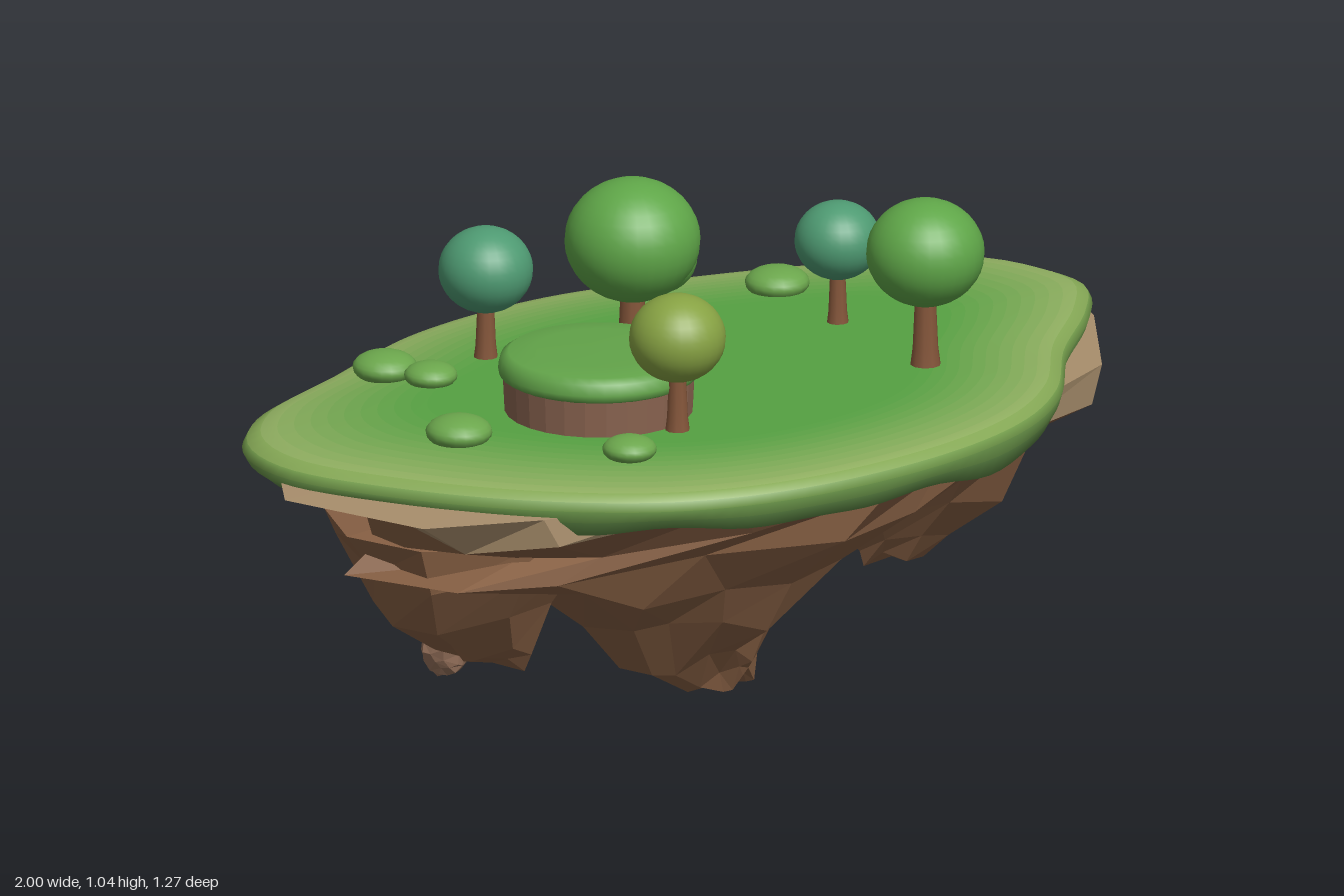
import * as THREE from 'three';

let seed = 7;
const rand = () => {
  seed = (seed * 16807) % 2147483647;
  return seed / 2147483647 - 0.5;
};
const mat = (color, flatShading = false) => new THREE.MeshStandardMaterial({ color, flatShading });
const V = (x, y, z) => new THREE.Vector3(x, y, z);

function add(parent, name, geometry, material, x = 0, y = 0, z = 0) {
  const mesh = new THREE.Mesh(geometry, material);
  mesh.name = name;
  mesh.position.set(x, y, z);
  parent.add(mesh);
  return mesh;
}

// Skin a stack of closed rings, top to bottom; bands[k] is the material index of each strip.
function loft(rings, bands) {
  const n = rings[0].length, index = [];
  const geo = new THREE.BufferGeometry().setFromPoints(rings.flat());
  for (let k = 0; k < rings.length - 1; k++) {
    geo.addGroup(index.length, n * 6, bands[k]);
    for (let i = 0; i < n; i++) {
      const j = (i + 1) % n, a = k * n, b = a + n;
      index.push(b + i, b + j, a + j, b + i, a + j, a + i);
    }
  }
  geo.setIndex(index);
  geo.computeVertexNormals();
  return geo;
}

// Jagged rock: levels are [y, centre x, centre z, scale x, scale z] applied to an outline.
function rock(parent, name, outline, levels, materials, paleBands = 0) {
  const rings = levels.map(([y, cx, cz, sx, sz], k) => outline.map(([x, z]) => {
    const jitter = k < 2 ? 1 : 1 + rand() * 0.2;
    const dy = k < 2 || sx === 0 ? 0 : rand() * 0.06;
    return V(cx + x * sx * jitter, Math.max(y + dy, 0.02), cz + z * sz * jitter);
  }));
  add(parent, name, loft(rings, levels.map((_, k) => (k < paleBands ? 0 : 1))), materials);
}

function boulder(parent, name, r, x, y, z, squash, material) {
  const geo = new THREE.DodecahedronGeometry(r, 1);
  const p = geo.attributes.position;
  // Push corners in and out by a rule of position, so shared corners stay together.
  for (let i = 0; i < p.count; i++) {
    const v = V().fromBufferAttribute(p, i);
    v.multiplyScalar(1 + 0.09 * Math.sin(v.x * 5 / r + v.y * 3 / r) * Math.cos(v.z * 4 / r));
    p.setXYZ(i, v.x, v.y, v.z);
  }
  geo.computeVertexNormals();
  add(parent, name, geo, material, x, y, z).scale.y = squash;
}

export function createModel() {
  const island = new THREE.Group();
  island.name = 'floatingIsland';
  const stone = [mat(0xa88e6c, true), mat(0x865f43, true)];
  const bark = mat(0x85563a), leaf = mat(0x5fa648);

  // Grass slab: lawn fading to a pale rounded rim, dripping skirt and hollow underside
  const shore = [
    [0, -0.64], [-0.34, -0.57], [-0.61, -0.42], [-0.85, -0.28], [-0.95, -0.14], [-0.955, 0.02],
    [-0.83, 0.235], [-0.63, 0.445], [-0.4, 0.585], [-0.15, 0.632], [0.19, 0.59], [0.43, 0.49],
    [0.59, 0.35], [0.73, 0.14], [0.89, -0.05], [0.97, -0.19], [0.96, -0.29], [0.89, -0.42],
    [0.67, -0.52], [0.35, -0.6]];
  const curve = new THREE.CatmullRomCurve3(shore.map(([x, z]) => V(x, 0, z)), true);
  const edge = curve.getSpacedPoints(128).slice(0, 128);
  const fade = 10, lawn = new THREE.Color(0x55a142), rim = new THREE.Color(0x8fae60);
  const slab = [[0, 0.655]], colors = [];
  for (let i = 0; i <= fade; i++) {
    const t = i / fade;
    slab.push([0.6 + 0.36 * t, 0.653 - 0.018 * t * t]);
    colors.push(mat(lawn.clone().lerp(rim, t ** 1.5)));
  }
  slab.push([0.99, 0.622], [1, 0.605], [0.99, 0.585], [0.965, 0.565], [0.93, 0.585], [0.8, 0.598], [0, 0.603]);
  colors.push(mat(0x86a956), mat(0x749d4c), mat(0x6b964a), mat(0x64904a),
    ...Array.from({ length: 3 }, () => mat(0x3f7237)));
  const drip = [0.3, 1, 0.5];
  const grassRings = slab.map(([s, y], k) => edge.map((p, i) => {
    const t = i / 128 * Math.PI * 2;
    const wave = Math.sin(t * 9) * 0.5 + Math.sin(t * 16 + 1) * 0.35 + Math.sin(t * 5 + 2) * 0.3;
    const drop = (drip[k - fade - 4] ?? 0) * (0.004 + 0.012 * wave + 0.016 * Math.abs(p.z) + 0.012 * p.x);
    return V(p.x * s, y - drop, p.z * s);
  }));
  add(island, 'grassSlab', loft(grassRings, colors.map((_, k) => k)), colors);

  // Main rock body tapering to a blunt point, with protruding ledges and a cut-in back
  const ledge = [
    [-1, 0.1], [-0.86, 0.39], [-0.63, 0.46], [-0.2, 0.48], [0.2, 0.46], [0.5, 0.34],
    [0.79, 0.17], [0.93, -0.1], [1, -0.38], [0.9, -0.44], [0.55, -0.52], [0.2, -0.53],
    [-0.06, -0.4], [-0.34, -0.35], [-0.68, -0.22], [-0.93, -0.04]];
  rock(island, 'rockBody', ledge, [
    [0.6, 0, 0, 0, 0], [0.59, 0, 0, 1, 1], [0.53, 0, 0, 0.91, 0.97], [0.46, 0.04, -0.035, 0.76, 0.83],
    [0.4, -0.05, -0.03, 0.73, 0.76], [0.32, -0.03, -0.01, 0.42, 0.62],
    [0.21, -0.03, -0.02, 0.27, 0.47], [0.1, -0.03, -0.02, 0.16, 0.28], [0.05, 0.01, -0.01, 0.1, 0.18],
    [0.02, 0.04, 0, 0.05, 0.12], [0.02, 0.04, 0, 0, 0]], stone, 2);

  // Hanging side spurs
  const ring = Array.from({ length: 8 }, (_, i) => {
    const a = i / 8 * Math.PI * 2, r = 1 + rand() * 0.25;
    return [Math.cos(a) * r, -Math.sin(a) * r];
  });
  for (const [name, x, z, lean] of [['rightSpur', -0.56, 0.04, 0.06], ['leftSpur', 0.53, -0.14, -0.03]]) {
    rock(island, name, ring, [
      [0.5, x, z, 0, 0], [0.47, x, z, 0.27, 0.22], [0.4, x, z, 0.22, 0.2],
      [0.29, x, z, 0.17, 0.14], [0.21, x + lean * 0.7, z, 0.09, 0.09],
      [0.17, x + lean, z, 0.06, 0.05], [0.16, x + lean, z, 0, 0]], stone);
  }
  const pebble = mat(0x94705a, true);
  boulder(island, 'embeddedBoulder', 0.11, -0.42, 0.425, -0.25, 0.9, pebble);
  boulder(island, 'fallingRock', 0.048, -0.37, 0.055, -0.36, 1.12, pebble);

  // Raised terrace: earth wall and overhanging grass cap
  const terrace = new THREE.Group();
  terrace.name = 'terrace';
  terrace.position.set(-0.285, 0.64, 0.08);
  island.add(terrace);
  add(terrace, 'earthWall', new THREE.CylinderGeometry(0.187, 0.182, 0.1, 28), mat(0x8a6450, true), 0, 0.05, 0);
  const cap = [[0, 0.085], [0.185, 0.083], [0.193, 0.088], [0.195, 0.1], [0.19, 0.121], [0.175, 0.131],
    [0.12, 0.136], [0, 0.137]].map(([x, y]) => new THREE.Vector2(x, y));
  add(terrace, 'grassCap', new THREE.LatheGeometry(cap, 40), mat(0x62a349));

  // Trees: [x, z, crown height, crown radius, crown material]
  const teal = mat(0x4e9a72), olive = mat(0x87a243);
  for (const [x, z, y, r, m] of [
    [-0.11, -0.09, 0.92, 0.132, leaf], [0.4, 0.16, 0.88, 0.115, leaf],
    [-0.31, -0.31, 0.83, 0.092, teal], [0.385, -0.15, 0.82, 0.084, teal], [-0.22, 0.27, 0.84, 0.094, olive]]) {
    const tree = new THREE.Group();
    tree.name = 'tree';
    tree.position.set(x, 0.64, z);
    island.add(tree);
    const h = y - 0.64, w = r * 0.22;
    const trunk = [[w * 1.25, 0], [w, h * 0.2], [w * 0.85, h * 0.55], [w * 0.75, h]];
    add(tree, 'trunk', new THREE.LatheGeometry(trunk.map((p) => new THREE.Vector2(...p)), 10), bark);
    add(tree, 'crown', new THREE.SphereGeometry(r, 28, 18), m, 0, h, 0).scale.y = 0.92;
  }
  // Second, smaller crown growing from the side of the tallest tree
  add(island, 'sideCrown', new THREE.SphereGeometry(0.077, 24, 16), leaf, -0.03, 0.86, -0.13).scale.y = 0.92;

  // Low bushes: [x, z, radius]
  const bushLeaf = mat(0x6ba64c);
  for (const [x, z, r] of [[-0.53, -0.32, 0.063], [-0.48, -0.23, 0.052], [-0.61, 0.1, 0.065],
    [-0.38, 0.36, 0.053], [0.39, -0.39, 0.063]]) {
    add(island, 'bush', new THREE.SphereGeometry(r, 20, 12), bushLeaf, x, 0.666, z).scale.y = 0.5;
  }
  return island;
}
